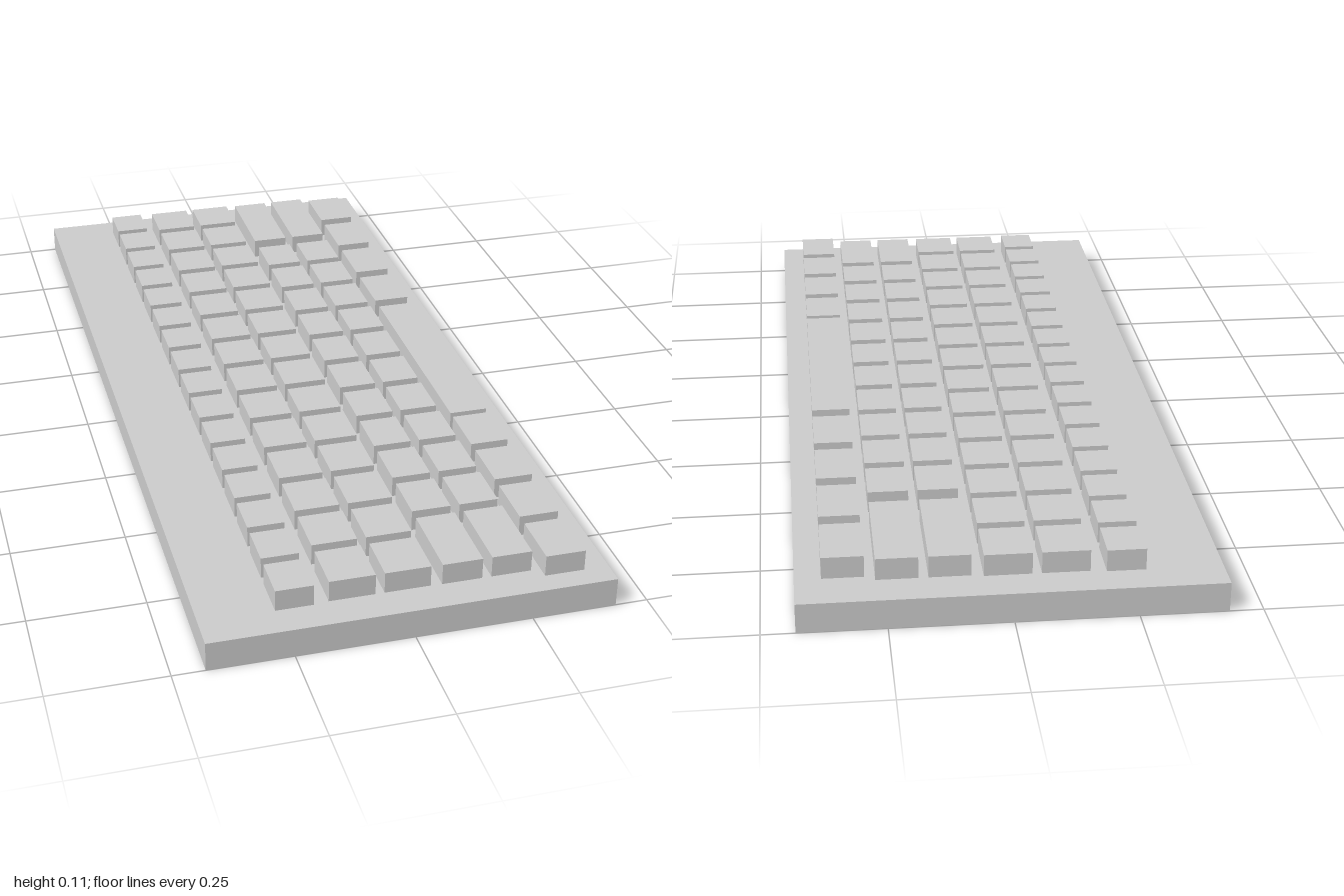
import * as THREE from 'three';

const BASE_W = 0.862, BASE_H = 0.064, BASE_L = 2, KEY_H = 0.047;

// Evenly spaced keys as [start, end] spans along z
function run(count, firstCentre, lastCentre, size) {
  const step = (lastCentre - firstCentre) / (count - 1);
  return Array.from({ length: count }, (_, i) => {
    const c = firstCentre + i * step;
    return [c - size / 2, c + size / 2];
  });
}

const functionKeys = run(16, -0.882, 0.881, 0.096);
const standardKeys = run(14, -0.87, 0.87, 0.11);
const letterKeys = [[-0.92, -0.677], ...run(10, -0.577, 0.665, 0.113), [0.748, 0.926]];
const bottomKeys = [
  ...run(4, -0.835, -0.316, 0.14),
  [-0.212, 0.35],
  ...run(4, 0.43, 0.888, 0.126),
];

// Key rows: name, x from, x to, spans along z
const ROWS = [
  ['functionRow', -0.273, -0.193, functionKeys],
  ['numberRow', -0.161, -0.063, standardKeys],
  ['upperRow', -0.044, 0.054, standardKeys],
  ['homeRow', 0.078, 0.164, letterKeys],
  ['lowerRow', 0.184, 0.27, letterKeys],
  ['spaceRow', 0.291, 0.377, bottomKeys],
];

export function createModel() {
  const model = new THREE.Group();
  model.name = 'keyboard';
  const material = new THREE.MeshStandardMaterial({ color: 0xcccccc, flatShading: true });

  const addBox = (parent, name, w, h, l, x, y, z) => {
    const mesh = new THREE.Mesh(new THREE.BoxGeometry(w, h, l), material);
    mesh.name = name;
    mesh.position.set(x, y, z);
    parent.add(mesh);
  };

  // Flat slab body
  addBox(model, 'base', BASE_W, BASE_H, BASE_L, 0, BASE_H / 2, 0);

  // Keycaps, row by row
  for (const [name, x0, x1, spans] of ROWS) {
    const row = new THREE.Group();
    row.name = name;
    for (const [z0, z1] of spans) {
      const keyName = z1 - z0 > 0.5 ? 'spaceBar' : 'key';
      addBox(row, keyName, x1 - x0, KEY_H, z1 - z0, (x0 + x1) / 2, BASE_H + KEY_H / 2, (z0 + z1) / 2);
    }
    model.add(row);
  }
  return model;
}
